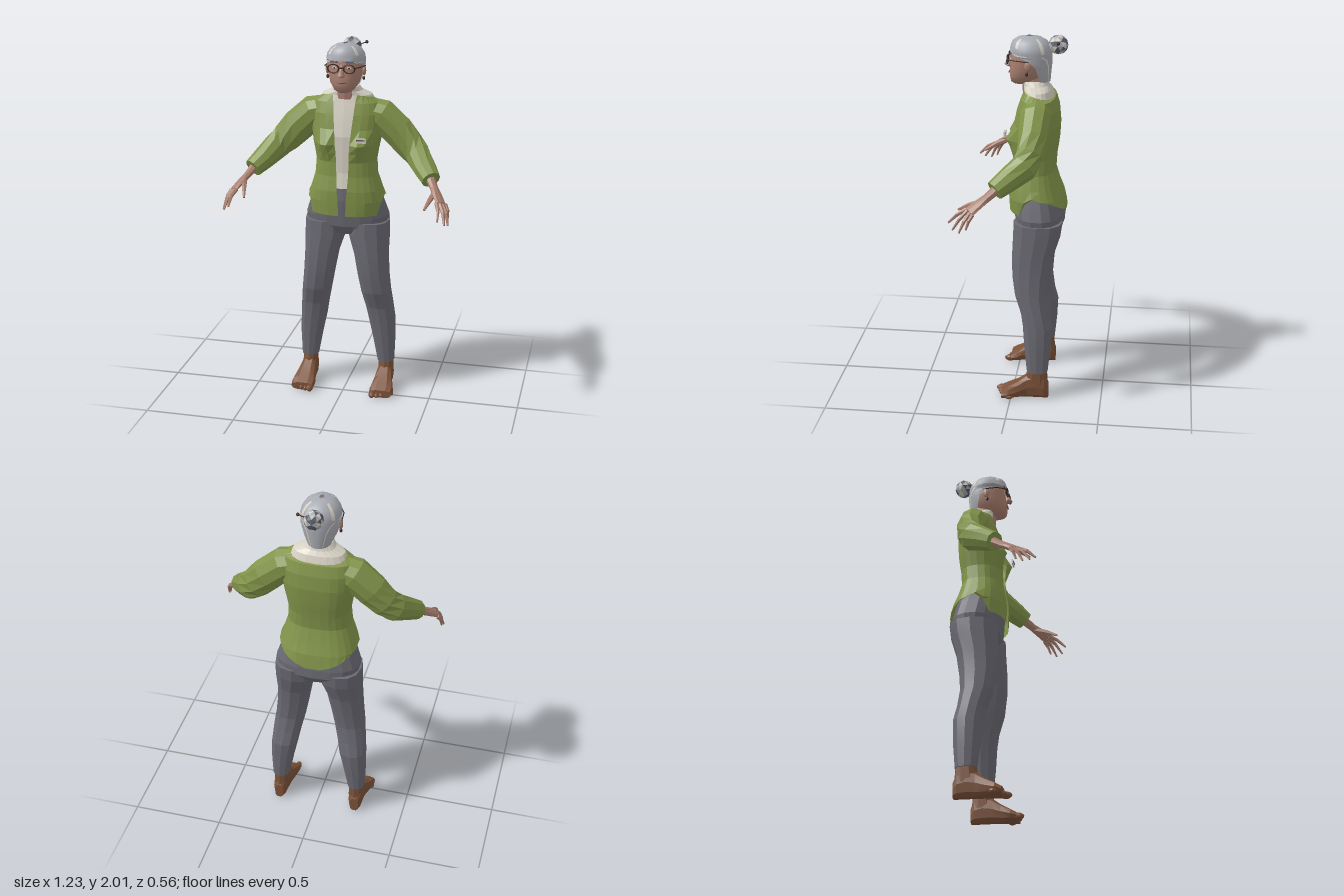
import * as THREE from 'three';
import { toCreasedNormals } from 'three/addons/utils/BufferGeometryUtils.js';

const V = (x, y, z) => new THREE.Vector3(x, y, z);
const mat = (name, color) => {
  const m = new THREE.MeshStandardMaterial({ color, side: THREE.DoubleSide });
  m.name = name;
  return m;
};
const FLAT = 0.12, SOFT = 1.1;

// Skins a list of point rings; paint(row, col) picks a material index
function loft(rings, { closed = true, caps = true, paint, crease = FLAT } = {}) {
  const pos = [], g = new THREE.BufferGeometry(), n = rings[0].length;
  const tri = (...p) => p.forEach(v => pos.push(v.x, v.y, v.z));
  for (let r = 0; r < rings.length - 1; r++)
    for (let c = 0; c < (closed ? n : n - 1); c++) {
      const d = (c + 1) % n, a = rings[r], b = rings[r + 1];
      if (paint) g.addGroup(pos.length / 3, 6, paint(r, c));
      tri(a[c], a[d], b[d]);
      tri(a[c], b[d], b[c]);
    }
  if (closed && caps)
    [rings[0], rings[rings.length - 1]].forEach((ring, end) => {
      const m = ring.reduce((s, p) => s.add(p), V(0, 0, 0)).divideScalar(n);
      ring.forEach((p, i) => {
        const q = ring[(i + 1) % n];
        end ? tri(m, p, q) : tri(m, q, p);
      });
    });
  g.setAttribute('position', new THREE.Float32BufferAttribute(pos, 3));
  return toCreasedNormals(g, crease);
}

// Horizontal oval sections: [y, halfWidth, zFront, zBack, centreX]
const pw = (v, e) => Math.sign(v) * Math.abs(v) ** e;
function ovals(rows, n = 16, e = 0.85) {
  return rows.map(([y, rx, zf, zb, cx = 0]) => Array.from({ length: n }, (_, i) => {
    const t = i / n * Math.PI * 2;
    return V(cx + rx * pw(Math.sin(t), e), y, (zf + zb) / 2 + (zf - zb) / 2 * pw(Math.cos(t), e));
  }));
}

// Round or flattened limb along points [x, y, z, radiusU, radiusV]
function limb(pts, n = 8, hint = V(0, 1, 0)) {
  const P = pts.map(p => V(p[0], p[1], p[2]));
  return loft(P.map((p, i) => {
    const t = P[Math.min(i + 1, P.length - 1)].clone().sub(P[Math.max(i - 1, 0)]).normalize();
    const u = hint.clone().addScaledVector(t, -hint.dot(t)).normalize();
    const v = t.clone().cross(u), [, , , ru, rv = ru] = pts[i];
    return Array.from({ length: n }, (_, k) => {
      const a = k / n * Math.PI * 2;
      return p.clone().addScaledVector(u, ru * Math.cos(a)).addScaledVector(v, rv * Math.sin(a));
    });
  }));
}

// Reflects a geometry in x and restores its winding
function mirrored(src) {
  const g = src.clone().scale(-1, 1, 1), p = g.attributes.position;
  for (let i = 0; i < p.count; i += 3) {
    const a = V().fromBufferAttribute(p, i + 1), b = V().fromBufferAttribute(p, i + 2);
    p.setXYZ(i + 1, b.x, b.y, b.z);
    p.setXYZ(i + 2, a.x, a.y, a.z);
  }
  return toCreasedNormals(g, FLAT);
}

export function createModel() {
  const root = new THREE.Group();
  root.name = 'elderlyWoman';
  const green = mat('jacketGreen', 0x82944a), grey = mat('trouserGrey', 0x6b6a73);
  const skin = mat('skin', 0xa98070), silver = mat('hairSilver', 0xa8abb2);
  const cream = mat('cream', 0xd6d0c3), brown = mat('footBrown', 0x7b5138);
  const dark = mat('bunDark', 0x5a5b66), frame = mat('frameDark', 0x3c2a24), lip = mat('lipRose', 0x8a574c);

  const add = (name, geo, m) => {
    const mesh = new THREE.Mesh(geo, m);
    mesh.name = name;
    root.add(mesh);
  };
  const pair = (name, geo, m) => {
    const g = geo.index ? geo.toNonIndexed() : geo;
    add(name + 'Left', g, m);
    add(name + 'Right', mirrored(g), m);
  };
  const box = (w, h, d, x, y, z) => new THREE.BoxGeometry(w, h, d).translate(x, y, z);
  const ball = (r, sx, sy, sz, x, y, z) => new THREE.SphereGeometry(r, 8, 6).scale(sx, sy, sz).translate(x, y, z);

  // Trousers
  add('trouserSeat', loft(ovals([
    [0.94, 0.13, -0.03, -0.235], [0.99, 0.225, -0.002, -0.27], [1.04, 0.232, 0.003, -0.268],
    [1.14, 0.198, 0.012, -0.248], [1.24, 0.155, 0.006, -0.2]], 18)), grey);
  pair('trouserLeg', loft(ovals([
    [0.16, 0.048, -0.085, -0.202, 0.223], [0.3, 0.064, -0.07, -0.216, 0.212], [0.42, 0.076, -0.06, -0.222, 0.198],
    [0.5, 0.08, -0.047, -0.203, 0.187], [0.6, 0.085, -0.012, -0.192, 0.17], [0.7, 0.089, 0.003, -0.2, 0.155],
    [0.82, 0.097, 0.006, -0.22, 0.141], [0.93, 0.116, 0.002, -0.255, 0.124], [1.01, 0.117, 0, -0.266, 0.121]], 12)), grey);

  // Feet: upright sections from heel to ball [z, xInner, xOuter, top]
  pair('foot', loft([
    [-0.207, 0.2, 0.25, 0.09], [-0.185, 0.187, 0.262, 0.13], [-0.14, 0.182, 0.265, 0.15], [-0.09, 0.178, 0.268, 0.135],
    [-0.04, 0.17, 0.282, 0.098], [0.015, 0.16, 0.296, 0.066], [0.05, 0.163, 0.292, 0.045]
  ].map(([z, a, b, h]) => Array.from({ length: 10 }, (_, i) => {
    const t = i / 10 * Math.PI * 2;
    return V((a + b) / 2 + (b - a) / 2 * pw(Math.cos(t), 0.7), h / 2 + h / 2 * pw(Math.sin(t), 0.7), z);
  }))), brown);
  pair('ankle', loft(ovals([[0.08, 0.042, -0.07, -0.205, 0.223], [0.175, 0.04, -0.092, -0.198, 0.223]], 10)), brown);
  for (let i = 0; i < 5; i++)
    pair('toe' + (i + 1), ball(i ? 0.014 : 0.019, 1, 1, 1.7, 0.182 + i * 0.025, i ? 0.016 : 0.02, 0.056 - i * i * 0.003), brown);

  // Shirt with collar
  add('shirt', loft(ovals([
    [1.215, 0.155, 0.022, -0.2], [1.3, 0.145, 0.008, -0.2], [1.4, 0.15, 0.008, -0.21], [1.5, 0.16, 0.008, -0.215],
    [1.6, 0.165, -0.012, -0.215], [1.68, 0.155, -0.035, -0.205], [1.72, 0.135, -0.045, -0.19],
    [1.742, 0.085, -0.04, -0.175], [1.765, 0.067, -0.028, -0.166]], 20)), cream);

  // Jacket: open at the front, bust raised, hem cut up at the sides
  const JN = 26, lift = t => t < 0.35 ? 0 : t < 0.45 ? (t - 0.35) * 1.15 : Math.max(0, 0.115 * (0.95 - t) / 0.5);
  add('jacketBody', loft([
    [1.06, 0.205, 0.03, -0.28, 0.02], [1.14, 0.214, 0.034, -0.264, 0.022], [1.2, 0.198, 0.032, -0.24, 0.028],
    [1.28, 0.172, 0.018, -0.217, 0.032], [1.36, 0.166, 0.014, -0.222, 0.035], [1.41, 0.174, 0.016, -0.23, 0.036],
    [1.46, 0.184, 0.018, -0.236, 0.04], [1.54, 0.195, 0.006, -0.24, 0.047], [1.62, 0.2, -0.01, -0.232, 0.055],
    [1.68, 0.185, -0.03, -0.213, 0.06], [1.722, 0.14, -0.045, -0.186, 0.066]
  ].map(([y, rx, zf, zb, open]) => {
    const a = Math.asin((open / rx) ** 1.25);
    return Array.from({ length: JN }, (_, i) => {
      const t = a + i / (JN - 1) * 2 * (Math.PI - a), f = Math.min(t, 2 * Math.PI - t) / Math.PI;
      const x = rx * pw(Math.sin(t), 0.8);
      const bust = Math.cos(t) > 0 ? 0.04 * Math.exp(-(((Math.abs(x) - 0.1) / 0.045) ** 2) - ((y - 1.455) / 0.05) ** 2) : 0;
      const neck = y > 1.7 ? 0.035 * (1 - Math.cos(t)) / 2 : 0;
      return V(x, Math.max(y, 1.06 + lift(f)) - neck, (zf + zb) / 2 + (zf - zb) / 2 * pw(Math.cos(t), 0.8) + bust);
    });
  }), { closed: false }), green);
  pair('sleeve', limb([
    [0.1, 1.63, -0.122, 0.075], [0.185, 1.605, -0.124, 0.092, 0.085], [0.28, 1.52, -0.122, 0.092, 0.078], [0.345, 1.45, -0.11, 0.084, 0.07],
    [0.395, 1.405, -0.085, 0.077, 0.066], [0.45, 1.35, -0.005, 0.062], [0.492, 1.31, 0.052, 0.052]], 10), green);
  add('badge', box(0.058, 0.026, 0.008, 0.107, 1.497, 0.046), cream);
  add('badgeStripe', box(0.046, 0.007, 0.004, 0.107, 1.5, 0.051), dark);

  // Hands
  const across = V(0.037, -0.015, -0.04);
  pair('palm', limb([[0.485, 1.318, 0.04, 0.028, 0.026], [0.515, 1.277, 0.09, 0.023, 0.02],
    [0.54, 1.25, 0.13, 0.032, 0.016], [0.566, 1.218, 0.172, 0.035, 0.013]], 8, across), skin);
  [[0.546, 1.225, 0.188, 0.565, 1.155, 0.28], [0.56, 1.222, 0.182, 0.598, 1.128, 0.255],
    [0.573, 1.216, 0.168, 0.612, 1.118, 0.22], [0.585, 1.211, 0.152, 0.606, 1.135, 0.185]
  ].forEach(([x, y, z, X, Y, Z], i) => pair('finger' + (i + 1), limb([
    [x, y, z, 0.012], [(x + X) / 2 + 0.006, (y + Y) / 2 + 0.01, (z + Z) / 2, 0.01], [X, Y, Z, 0.005]], 6), skin));
  pair('thumb', limb([[0.524, 1.262, 0.105, 0.016], [0.507, 1.235, 0.175, 0.013], [0.488, 1.2, 0.24, 0.006]], 6), skin);

  // Head
  add('neck', loft(ovals([[1.7, 0.062, -0.035, -0.165], [1.83, 0.058, -0.025, -0.16]], 12)), skin);
  add('face', loft(ovals([
    [1.745, 0.03, 0.012, -0.06], [1.757, 0.053, 0.028, -0.11], [1.79, 0.077, 0.034, -0.15], [1.83, 0.089, 0.032, -0.165],
    [1.87, 0.095, 0.026, -0.17], [1.91, 0.097, 0.026, -0.175], [1.95, 0.082, 0.01, -0.16]], 20, 0.9), { crease: SOFT }), skin);
  add('nose', loft(ovals([[1.833, 0.013, 0.04, 0.02], [1.843, 0.019, 0.063, 0.015], [1.865, 0.011, 0.05, 0.015], [1.9, 0.008, 0.03, 0.01]], 8)), skin);
  add('mouth', ball(0.02, 1.3, 0.3, 0.3, 0, 1.805, 0.034), lip);
  pair('ear', ball(0.028, 0.4, 1, 0.7, 0.1, 1.855, -0.072), skin);
  pair('earring', ball(0.008, 1, 1.4, 1, 0.099, 1.815, -0.066), frame);
  pair('eye', ball(0.012, 1.1, 0.5, 0.4, 0.04, 1.882, 0.024), cream);
  pair('pupil', ball(0.005, 1, 1, 0.6, 0.04, 1.882, 0.029), frame);
  pair('eyebrow', box(0.04, 0.006, 0.008, 0.042, 1.912, 0.024), dark);

  // Glasses
  pair('lensRim', new THREE.TorusGeometry(0.027, 0.0038, 5, 16).scale(1.1, 0.85, 1).translate(0.043, 1.88, 0.04), frame);
  pair('templeArm', limb([[0.073, 1.885, 0.038, 0.003], [0.1, 1.885, -0.01, 0.003], [0.106, 1.88, -0.075, 0.003]], 5), frame);
  add('glassesBridge', box(0.028, 0.006, 0.006, 0, 1.885, 0.045), frame);

  // Hair swept back from the face, with pale streaks
  const HN = 33;
  add('hair', loft([
    [1.76, 0.07, 0.02, -0.182, 2.1], [1.8, 0.086, 0.025, -0.185, 2], [1.85, 0.1, 0.03, -0.19, 1.85], [1.885, 0.105, 0.033, -0.191, 1.45],
    [1.905, 0.106, 0.034, -0.19, 0.8], [1.918, 0.106, 0.034, -0.19, 0], [1.945, 0.1, 0.03, -0.182, 0], [1.972, 0.082, 0.02, -0.165, 0],
    [1.99, 0.055, -0.005, -0.135, 0], [2, 0.012, -0.05, -0.09, 0]
  ].map(([y, rx, zf, zb, a]) => Array.from({ length: HN }, (_, i) => {
    const t = a + i / (HN - 1) * 2 * (Math.PI - a);
    return V(rx * Math.sin(t), y - (y > 1.99 && (i === 0 || i === HN - 1) ? 0.004 : 0), (zf + zb) / 2 + (zf - zb) / 2 * Math.cos(t));
  })), {
    closed: false, crease: SOFT,
    paint: (r, c) => {
      const k = Math.min(c, HN - 2 - c);
      return (k === 4 && r > 5 && r < 8) || (k === 11 && r > 4 && r < 8) || (k === 9 && r < 4) ? 1 : 0;
    }
  }), [silver, cream]);

  // Patchwork bun and its pin
  const bun = new THREE.IcosahedronGeometry(0.052, 1).translate(0, 1.955, -0.222);
  for (let i = 0; i < 80; i++) bun.addGroup(i * 3, 3, [0, 2, 1, 2, 0][(i * 7 + (i >> 2)) % 5]);
  add('bun', toCreasedNormals(bun, FLAT), [silver, cream, dark]);
  add('hairPin', limb([[-0.03, 1.935, -0.215, 0.003], [0.08, 1.978, -0.228, 0.003]], 5), frame);
  add('pinBead', ball(0.009, 1, 1, 1, 0.08, 1.978, -0.228), frame);
  return root;
}
